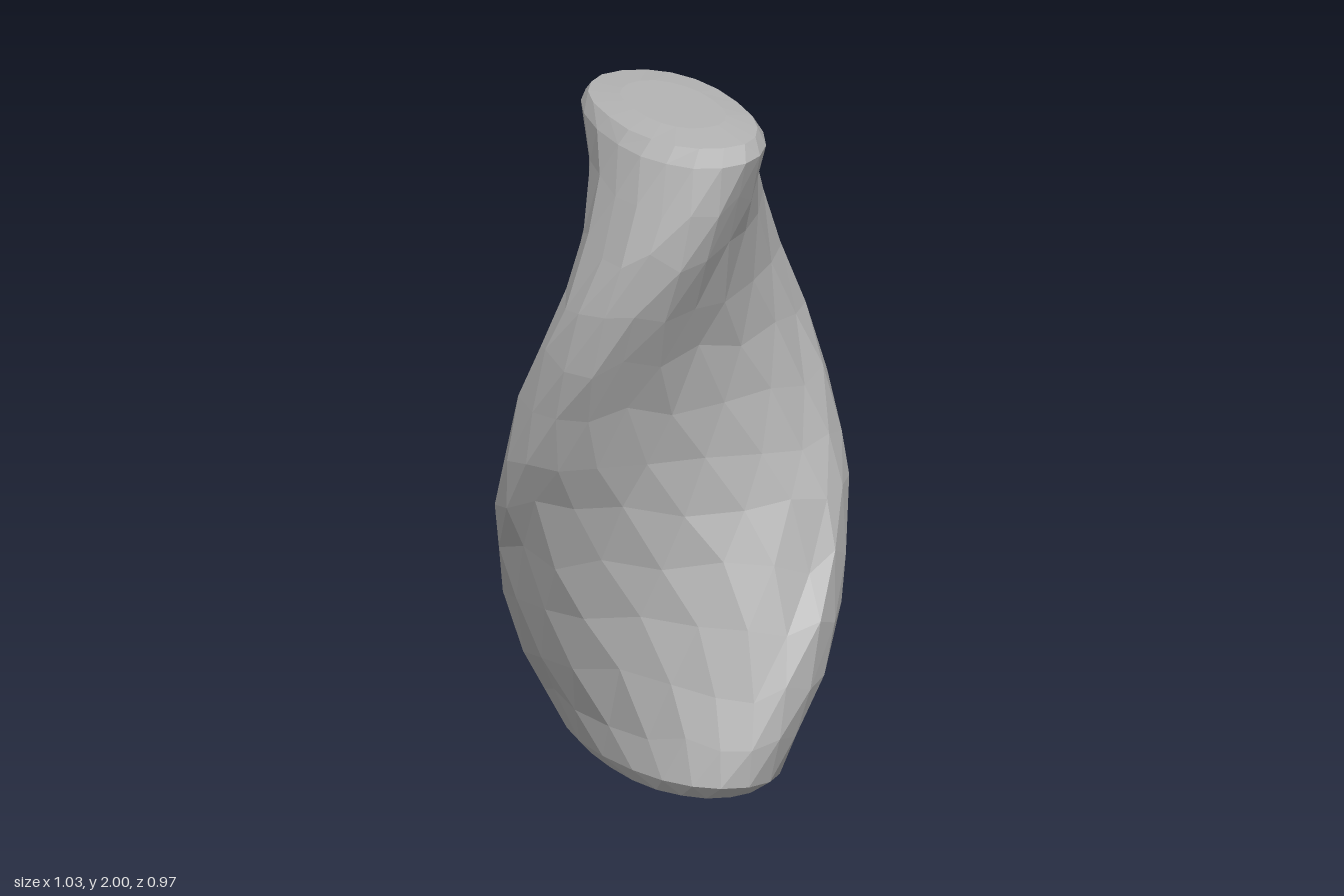
import * as THREE from 'three';

const SEGMENTS = 20;
const HALF_LENGTH = 0.508;
const HALF_WIDTH = 0.245;

// Small seeded generator for the hewn, uneven surface
function makeRandom(seed) {
  return () => {
    seed = (seed * 1664525 + 1013904223) % 4294967296;
    return seed / 4294967296 - 0.5;
  };
}

// Slightly squared-off cosine and sine, for a section fuller than an ellipse
const fuller = (value) => Math.sign(value) * Math.abs(value) ** 0.9;

// Stack of oval sections whose long axis makes a half turn from bottom to top
function twistedBody() {
  const random = makeRandom(7);
  // [height, size of section]
  const sections = [
    [0.006, 0.5], [0.018, 0.82], [0.06, 0.94], [0.18, 0.975], [0.33, 1.01], [0.5, 1.015], [0.67, 1.01],
    [0.84, 1.01], [1.0, 1.01], [1.16, 1.01], [1.33, 1.01], [1.5, 1.015], [1.67, 1.01], [1.82, 0.975],
    [1.945, 0.94], [1.985, 0.82], [2.0, 0.5],
  ];
  const positions = [];
  const index = [];

  sections.forEach(([y, size], i) => {
    const turn = Math.PI * y / 2;
    const isEnd = i < 3 || i > sections.length - 4;
    for (let j = 0; j < SEGMENTS; j++) {
      const angle = (j / SEGMENTS) * Math.PI * 2;
      const scale = size * (1 + random() * (isEnd ? 0.02 : 0.035));
      const along = HALF_LENGTH * fuller(Math.cos(angle)) * scale;
      const across = HALF_WIDTH * fuller(Math.sin(angle)) * scale;
      const lift = isEnd ? 0 : random() * 0.06;
      positions.push(
        along * Math.sin(turn) + across * Math.cos(turn),
        y + lift,
        along * Math.cos(turn) - across * Math.sin(turn),
      );
    }
  });

  // Side facets, split along the shorter diagonal
  const point = (k) => new THREE.Vector3().fromArray(positions, k * 3);
  for (let i = 0; i < sections.length - 1; i++) {
    for (let j = 0; j < SEGMENTS; j++) {
      const next = (j + 1) % SEGMENTS;
      const a = i * SEGMENTS + j;
      const b = i * SEGMENTS + next;
      const c = b + SEGMENTS;
      const d = a + SEGMENTS;
      if (point(a).distanceTo(point(c)) < point(b).distanceTo(point(d))) index.push(a, b, c, a, c, d);
      else index.push(a, b, d, b, c, d);
    }
  }

  // Nearly flat ends
  const bottom = positions.length / 3;
  positions.push(0, 0, 0, 0, 2, 0);
  const last = (sections.length - 1) * SEGMENTS;
  for (let j = 0; j < SEGMENTS; j++) {
    const next = (j + 1) % SEGMENTS;
    index.push(bottom, next, j, bottom + 1, last + j, last + next);
  }

  const geometry = new THREE.BufferGeometry();
  geometry.setAttribute('position', new THREE.Float32BufferAttribute(positions, 3));
  geometry.setIndex(index);
  const faceted = geometry.toNonIndexed();
  faceted.computeVertexNormals();
  return faceted;
}

export function createModel() {
  const stone = new THREE.MeshStandardMaterial({ color: 0xb4b4b4, flatShading: true });
  stone.name = 'stone grey';

  const model = new THREE.Group();
  model.name = 'twistedStone';
  const body = new THREE.Mesh(twistedBody(), stone);
  body.name = 'twistedBody';
  model.add(body);
  return model;
}
